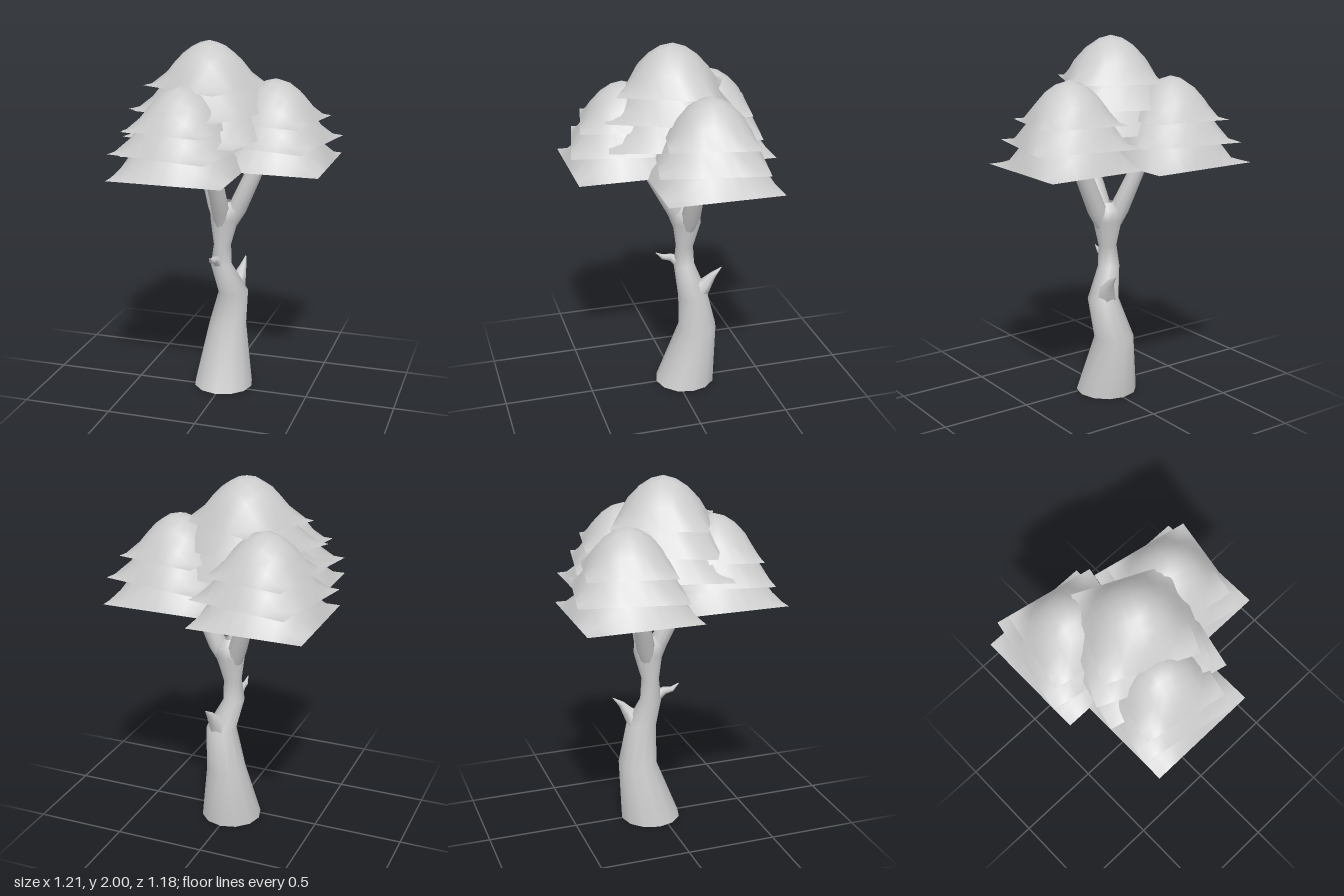
import * as THREE from 'three';

const bark = new THREE.MeshStandardMaterial({ color: 0xcccccc, side: THREE.DoubleSide });
const leaf = new THREE.MeshStandardMaterial({ color: 0xcccccc, side: THREE.DoubleSide });

// Open tube through rings [x, y, z, radius]; rings lie flat or face along the path
function limb(name, rings, sides = 12, flat = false) {
  const pts = rings.map(([x, y, z]) => new THREE.Vector3(x, y, z));
  const up = new THREE.Vector3(0, 1, 0);
  const pos = [], idx = [];
  rings.forEach(([, , , r], i) => {
    const dir = pts[Math.min(i + 1, pts.length - 1)].clone().sub(pts[Math.max(i - 1, 0)]).normalize();
    const q = new THREE.Quaternion().setFromUnitVectors(up, flat ? up : dir);
    for (let j = 0; j < sides; j++) {
      const a = (j / sides) * Math.PI * 2;
      const v = new THREE.Vector3(Math.cos(a) * r, 0, Math.sin(a) * r).applyQuaternion(q).add(pts[i]);
      pos.push(v.x, v.y, v.z);
      if (i < rings.length - 1) {
        const p = i * sides + j, n = i * sides + (j + 1) % sides;
        idx.push(p, p + sides, n, n, p + sides, n + sides);
      }
    }
  });
  const g = new THREE.BufferGeometry();
  g.setAttribute('position', new THREE.Float32BufferAttribute(pos, 3));
  g.setIndex(idx);
  g.computeVertexNormals();
  const mesh = new THREE.Mesh(g, bark);
  mesh.name = name;
  return mesh;
}

// Dome profile: 1 at the centre, 0 at the rim
const rise = (t) => Math.pow(Math.max(0, 1 - Math.pow(Math.abs(t), 1.8)), 0.8);

// Square sheet pulled up into a round dome, with level edges and thin flared corners
function leafShell(size, height) {
  const g = new THREE.PlaneGeometry(size, size, 8, 8).rotateX(-Math.PI / 2);
  const p = g.attributes.position;
  for (let i = 0; i < p.count; i++) {
    const u = p.getX(i) * 2 / size, v = p.getZ(i) * 2 / size;
    p.setY(i, height * (0.65 * rise(Math.hypot(u, v)) + 0.35 * rise(u) * rise(v)));
  }
  g.computeVertexNormals();
  return new THREE.Mesh(g, leaf);
}

// Three nested shells, the upper two smaller and turned
function canopy(name, x, y, z, scale = 1, turn = 0) {
  const group = new THREE.Group();
  group.name = name;
  [[0.62, 0, 0], [0.564, 0.12, 11.2], [0.461, 0.237, 11.2]].forEach(([size, lift, deg], i) => {
    const shell = leafShell(size, size * 0.477);
    shell.name = `leafLayer${i + 1}`;
    shell.position.y = lift;
    shell.rotation.y = -THREE.MathUtils.degToRad(deg);
    group.add(shell);
  });
  group.position.set(x, y, z);
  group.scale.setScalar(scale);
  group.rotation.y = -THREE.MathUtils.degToRad(turn);
  return group;
}

export function createModel() {
  const tree = new THREE.Group();
  tree.name = 'tree';

  // Crooked trunk, open at the foot
  tree.add(limb('trunk', [
    [-0.005, 0, -0.055, 0.17], [-0.003, 0.34, -0.13, 0.11], [0.043, 0.56, -0.09, 0.086],
    [-0.02, 0.73, -0.055, 0.06], [-0.012, 0.85, -0.055, 0.05], [-0.003, 1.0, -0.065, 0.081],
    [0, 1.06, -0.06, 0.08], [0, 1.1, -0.06, 0.04],
  ], 12, true));

  // Three main branches growing out of the fork into the lower canopies
  tree.add(limb('rightBranch', [
    [-0.01, 0.88, -0.06, 0.025], [-0.06, 1.06, -0.1, 0.052], [-0.155, 1.32, -0.165, 0.04], [-0.25, 1.54, -0.24, 0.028],
  ], 10));
  tree.add(limb('leftBranch', [
    [-0.01, 0.88, -0.06, 0.025], [0.07, 1.06, -0.07, 0.052], [0.185, 1.32, -0.075, 0.046], [0.26, 1.54, -0.1, 0.032],
  ], 10));
  tree.add(limb('frontBranch', [
    [-0.01, 0.88, -0.05, 0.025], [-0.01, 1.06, -0.005, 0.05], [-0.01, 1.32, 0.14, 0.047], [-0.09, 1.54, 0.22, 0.032],
  ], 10));

  // Short tapering spurs on the trunk
  tree.add(limb('frontSpur', [
    [-0.025, 0.74, -0.03, 0.035], [-0.035, 0.775, 0.02, 0.022], [-0.04, 0.78, 0.065, 0.015], [-0.04, 0.81, 0.105, 0.002],
  ], 6));
  tree.add(limb('backSpur', [
    [0.04, 0.57, -0.11, 0.07], [0.06, 0.635, -0.165, 0.036], [0.068, 0.68, -0.198, 0.02], [0.07, 0.725, -0.25, 0.002],
  ], 6));

  // Foliage: three low canopies and one larger, turned crown
  tree.add(canopy('frontCanopy', -0.14, 1.335, 0.257));
  tree.add(canopy('leftCanopy', 0.271, 1.335, -0.11));
  tree.add(canopy('backCanopy', -0.275, 1.335, -0.263));
  tree.add(canopy('crownCanopy', -0.07, 1.5, 0, 1.09, 13.8));
  return tree;
}
